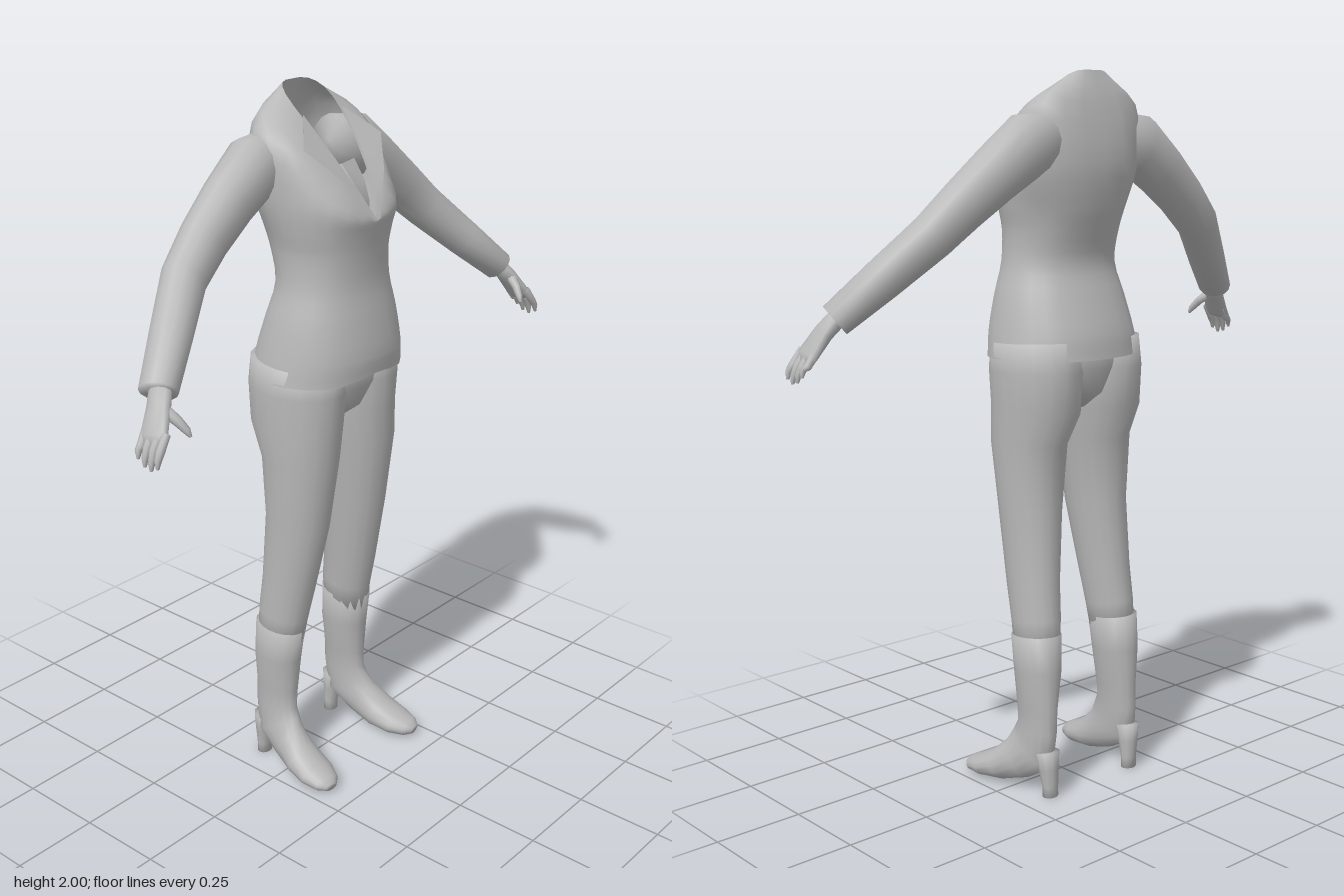
import * as THREE from 'three';

const V = (x, y, z) => new THREE.Vector3(x, y, z);
const cloth = new THREE.MeshStandardMaterial({ color: 0xb8b8b8, side: THREE.DoubleSide });
cloth.name = 'plain grey';

// Joins closed rings of points into one smooth skin, optionally capped
function skin(rings, caps) {
  const n = rings[0].length, m = rings.length, pos = [], idx = [];
  rings.forEach(r => r.forEach(p => pos.push(p.x, p.y, p.z)));
  for (let i = 0; i < m - 1; i++) for (let j = 0; j < n; j++) {
    const k = (j + 1) % n, a = i * n + j, b = i * n + k;
    idx.push(a, b, a + n, b, b + n, a + n);
  }
  if (caps) [0, m - 1].forEach(i => {
    const c = rings[i].reduce((s, p) => s.add(p), V(0, 0, 0)).divideScalar(n);
    const ci = pos.length / 3;
    pos.push(c.x, c.y, c.z);
    for (let j = 0; j < n; j++) {
      const a = i * n + j, b = i * n + (j + 1) % n;
      if (i) idx.push(a, b, ci); else idx.push(b, a, ci);
    }
  });
  return surface(pos, idx);
}

function surface(pos, idx) {
  const g = new THREE.BufferGeometry();
  g.setAttribute('position', new THREE.Float32BufferAttribute(pos, 3));
  g.setIndex(idx);
  g.computeVertexNormals();
  return g;
}

// Limb from sections [x, y, z, radius along ref, radius across]
function limb(sections, ref, sides = 14, floor = -1) {
  const c = sections.map(s => V(s[0], s[1], s[2])), last = c.length - 1;
  return skin(sections.map((s, i) => {
    const t = c[Math.min(i + 1, last)].clone().sub(c[Math.max(i - 1, 0)]).normalize();
    const u = ref.clone().addScaledVector(t, -ref.dot(t)).normalize();
    const v = t.clone().cross(u);
    return Array.from({ length: sides }, (_, j) => {
      const a = j / sides * Math.PI * 2;
      const p = c[i].clone().addScaledVector(u, s[3] * Math.cos(a)).addScaledVector(v, s[4] * Math.sin(a));
      p.y = Math.max(p.y, floor);
      return p;
    });
  }), true);
}

// Mirrors a half ring (front to back on the +x side) into a full ring
const fullRing = half => [...half, ...half.slice(1, -1).reverse().map(p => V(-p.x, p.y, p.z))];

function jacketBody() {
  const rings = [ // y, half width, front z, back z
    [1.235, .225, .17, -.18], [1.30, .215, .174, -.172], [1.40, .195, .16, -.14],
    [1.49, .17, .145, -.115], [1.58, .167, .148, -.138], [1.64, .178, .158, -.158],
  ].map(([y, w, f, b], r) => fullRing(Array.from({ length: 7 }, (_, i) => {
    const a = i / 6 * Math.PI;
    const dip = r === 0 && i === 0 ? .015 : 0; // small vent at the hem
    return V(i % 6 ? w * Math.pow(Math.sin(a), .8) : 0, y + dip, (f + b) / 2 + (f - b) / 2 * Math.cos(a));
  })));
  // chest, shoulders and the V-shaped neck edge
  [
    [[0, 1.662, .161], [.10, 1.69, .15], [.165, 1.72, .08], [.19, 1.73, 0], [.19, 1.74, -.09], [.12, 1.76, -.16], [0, 1.76, -.178]],
    [[0, 1.668, .163], [.07, 1.73, .138], [.13, 1.79, .085], [.175, 1.86, .01], [.195, 1.90, -.08], [.12, 1.92, -.145], [0, 1.91, -.155]],
    [[0, 1.675, .16], [.03, 1.74, .125], [.06, 1.84, .05], [.076, 1.92, -.02], [.076, 1.975, -.08], [.05, 1.998, -.115], [0, 2, -.128]],
  ].forEach(r => rings.push(fullRing(r.map(p => V(...p)))));
  // smooth up each column
  const cols = rings[0].map((_, j) => new THREE.CatmullRomCurve3(rings.map(r => r[j])));
  const steps = (rings.length - 1) * 3;
  return skin(Array.from({ length: steps + 1 }, (_, i) => {
    const loop = new THREE.CatmullRomCurve3(cols.map(c => c.getPoint(i / steps)), true);
    return Array.from({ length: 24 }, (_, j) => loop.getPoint(j / 24));
  }), false);
}

// Strip between two lines of points
function strip(a, b) {
  const pos = [], idx = [];
  a.forEach((p, i) => pos.push(...p, ...b[i]));
  for (let i = 0; i < a.length - 1; i++) {
    const k = i * 2;
    idx.push(k, k + 1, k + 2, k + 1, k + 3, k + 2);
  }
  return surface(pos, idx);
}

export function createModel() {
  const group = new THREE.Group();
  const add = (geometry, name, mirror) => {
    const m = new THREE.Mesh(geometry, cloth);
    m.name = name;
    if (mirror) m.scale.x = -1;
    group.add(m);
  };
  const both = (geometry, name) => {
    add(geometry, 'left' + name);
    add(geometry, 'right' + name, true);
  };
  const X = V(1, 0, 0), Z = V(0, 0, 1);

  add(jacketBody(), 'jacketBody');

  // Shirt front inside the neckline
  const shirt = [[1.64, .135, .03], [1.70, .12, .05], [1.75, .09, .065], [1.80, .045, .075]];
  add(strip(shirt.map(([y, z, w]) => [-w, y, z - .02]), shirt.map(([y, z]) => [0, y, z])), 'rightShirtFront');
  add(strip(shirt.map(([y, z]) => [0, y, z]), shirt.map(([y, z, w]) => [w, y, z - .02])), 'leftShirtFront');

  // Lapels lying over the chest
  both(strip(
    [[0, 1.668, .168], [.03, 1.74, .135], [.06, 1.84, .06], [.077, 1.93, -.02]],
    [[.012, 1.672, .168], [.09, 1.785, .115], [.155, 1.86, .05], [.10, 1.915, 0]]), 'Lapel');

  both(limb([
    [.10, 1.83, -.085, .06, .07], [.20, 1.805, -.085, .076, .087], [.30, 1.735, -.08, .068, .078],
    [.40, 1.658, -.07, .062, .07], [.49, 1.58, -.053, .058, .063], [.60, 1.475, .01, .056, .055],
    [.705, 1.375, .07, .052, .044]], Z), 'Sleeve');

  // Hands
  both(limb([
    [.69, 1.39, .065, .03, .025], [.725, 1.345, .09, .034, .022],
    [.763, 1.288, .11, .044, .016], [.772, 1.272, .113, .038, .01]], Z, 10), 'Palm');
  for (let i = 0; i < 4; i++) {
    const z = .078 + i * .022, drop = [.02, .005, 0, .01][i];
    both(limb([
      [.755, 1.30, z, .011, .012], [.782, 1.262, z + .006, .011, .011],
      [.793, 1.235 + drop, z + .009, .009, .009], [.796, 1.215 + drop, z + .01, .004, .004]], Z, 8), 'Finger' + (i + 1));
  }
  both(limb([
    [.725, 1.345, .105, .016, .016], [.71, 1.318, .138, .013, .013],
    [.699, 1.295, .157, .01, .01], [.695, 1.28, .165, .004, .004]], X, 8), 'Thumb');

  // Trousers
  add(limb([
    [0, 1.29, -.015, .205, .14], [0, 1.2, -.017, .19, .135],
    [0, 1.13, -.02, .11, .11], [0, 1.09, -.02, .05, .06]], X, 20), 'trouserSeat');
  both(limb([
    [.112, 1.28, -.015, .112, .14], [.112, 1.2, -.018, .116, .147], [.113, 1.1, -.018, .112, .141],
    [.121, 1.0, .001, .1, .116], [.125, .8, -.008, .081, .098], [.137, .6, -.033, .068, .083],
    [.142, .5, -.05, .063, .078], [.147, .42, -.058, .058, .073]], X, 18), 'TrouserLeg');

  // Boots
  both(limb([
    [.148, .46, -.057, .064, .079], [.151, .36, -.066, .06, .075], [.154, .25, -.068, .045, .07],
    [.156, .19, -.069, .04, .071], [.16, .125, -.055, .042, .084], [.168, .085, -.005, .047, .064],
    [.178, .052, .055, .058, .048], [.187, .034, .115, .058, .034],
    [.195, .026, .16, .042, .023], [.198, .022, .18, .02, .012]], X, 16, .004), 'Boot');
  both(limb([
    [.158, .13, -.11, .034, .042], [.157, .08, -.118, .028, .03],
    [.155, .03, -.123, .024, .02], [.155, 0, -.123, .024, .02]], X, 10), 'BootHeel');

  return group;
}
